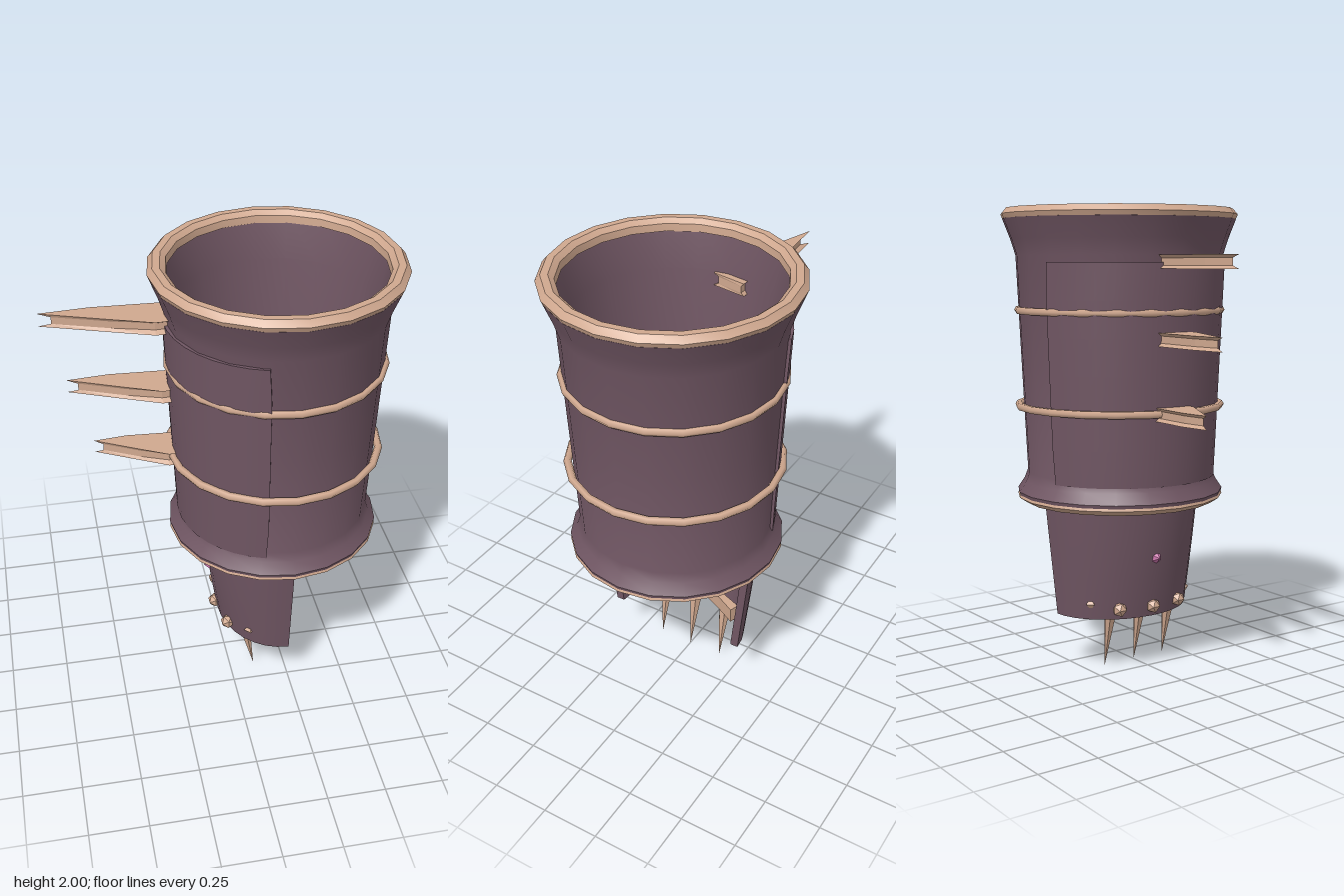
import * as THREE from 'three';
import { toCreasedNormals } from 'three/addons/utils/BufferGeometryUtils.js';

const CX = 0.215; // axis of the sleeve
const SIDES = 20;
const purple = new THREE.MeshStandardMaterial({ color: 0x705663, side: THREE.DoubleSide });
const tan = new THREE.MeshStandardMaterial({ color: 0xd0a88f, side: THREE.DoubleSide });
const tanFlat = new THREE.MeshStandardMaterial({ color: 0xd0a88f, flatShading: true });
const pink = new THREE.MeshStandardMaterial({ color: 0xd078b0, flatShading: true });

const lerp = THREE.MathUtils.lerp;
const wallRadius = (y) => lerp(0.41, 0.453, (y - 0.86) / 0.94);

function addMesh(parent, name, geometry, material) {
  const mesh = new THREE.Mesh(geometry, material);
  mesh.name = name;
  parent.add(mesh);
  return mesh;
}

// Move every vertex of a geometry by a rule
function warp(geometry, rule) {
  const pos = geometry.attributes.position;
  const v = new THREE.Vector3();
  for (let i = 0; i < pos.count; i++) {
    rule(v.fromBufferAttribute(pos, i));
    pos.setXYZ(i, v.x, v.y, v.z);
  }
  geometry.computeVertexNormals();
  return geometry;
}

function lathe(points, crease) {
  const profile = points.map(([r, y]) => new THREE.Vector2(r, y));
  return toCreasedNormals(new THREE.LatheGeometry(profile, SIDES), crease).translate(CX, 0, 0);
}

// Box bent around the -x side; place(angle, height 0..1, depth 0..1) returns [x, y, z]
function bentPlate(halfAngle, place) {
  const box = new THREE.BoxGeometry(2, 1, 1, 16, 6, 1);
  warp(box, (v) => v.set(...place(v.x * halfAngle, v.y + 0.5, v.z + 0.5)));
  return toCreasedNormals(box, 0.7);
}

// Plan outline in (x, z) extruded upward and centred on y = 0
function slab(outline, height, steps) {
  const shape = new THREE.Shape(outline.map(([x, z]) => new THREE.Vector2(x, z)));
  const geometry = new THREE.ExtrudeGeometry(shape, { depth: height, steps, bevelEnabled: false });
  return geometry.rotateX(Math.PI / 2).translate(0, height / 2, 0);
}

export function createModel() {
  const model = new THREE.Group();
  model.name = 'armGuard';

  // Flared sleeve, outside then inside
  addMesh(model, 'sleeve', lathe([
    [0.45, 0.755], [0.455, 0.775], [0.425, 0.82], [0.41, 0.86], [0.432, 1.33], [0.453, 1.8],
    [0.475, 1.87], [0.508, 1.955], [0.45, 1.97], [0.415, 1.8], [0.365, 0.86], [0.37, 0.74],
  ], 0.8), purple);

  // Rims
  addMesh(model, 'topRim', lathe([
    [0.47, 1.945], [0.506, 1.952], [0.516, 1.975], [0.495, 2], [0.465, 2], [0.443, 1.982], [0.44, 1.95],
  ], 0.4), tan);
  addMesh(model, 'bottomRim', lathe([
    [0.365, 0.75], [0.378, 0.73], [0.42, 0.727], [0.455, 0.75], [0.45, 0.765],
  ], 0.4), tan);

  // Two hoops
  for (const y of [1.15, 1.565]) {
    const hoop = new THREE.TorusGeometry(0.445, 0.017, 6, SIDES).rotateX(Math.PI / 2);
    addMesh(model, 'hoop', hoop.translate(CX, y, 0), tan);
  }

  // Shield plate over the outer side, with slightly clipped corners
  addMesh(model, 'shieldPlate', bentPlate(1.316, (a, h, d) => {
    const y = lerp(0.84, 1.77, h);
    const edge = Math.abs(h - 0.5) > 0.49 ? 0.985 : 1;
    const r = wallRadius(y) + lerp(-0.015, 0.01, d);
    return [CX - r * Math.cos(a * edge), y, r * Math.sin(a * edge)];
  }), purple);

  // Side blades with grooved flanks, shorter toward the bottom
  const bladeOutline = [
    [-0.73, -0.1], [-0.52, -0.115], [-0.28, -0.105], [-0.155, -0.1],
    [-0.18, 0.055], [-0.28, 0.06], [-0.45, 0],
  ];
  [[1.772, 1], [1.457, 0.83], [1.147, 0.66]].forEach(([y, length]) => {
    const blade = warp(slab(bladeOutline, 0.056, 3), (v) => {
      if (Math.abs(v.y) < 0.02) {
        v.y *= 1.6;
        v.z = lerp(-0.04, v.z, 0.78);
        if (v.x < -0.7) v.x += 0.055;
      }
      v.x = -0.17 + (v.x + 0.17) * length;
    });
    addMesh(model, 'sideBlade', blade, tanFlat).position.y = y;
  });

  // Tapering half-round hand guard
  addMesh(model, 'handGuard', bentPlate(Math.PI / 2, (a, h, d) => {
    const y = lerp(0.238, 0.78, h);
    const bulge = Math.sin(h * Math.PI) * 0.008;
    const inset = (1 - d) * 0.036;
    const rx = lerp(0.265, 0.33, h) + bulge - inset;
    const rz = lerp(0.32, 0.38, h) - inset;
    return [0.235 - rx * Math.cos(a), y, rz * Math.sin(a)];
  }), purple);

  // Chevron bar inside the hand guard, rising toward its ends
  const bar = slab([
    [0, 0], [0.11, 0.25], [0.15, 0.235], [0.1, 0.15], [0.02, 0],
    [0.1, -0.15], [0.15, -0.235], [0.11, -0.25],
  ], 0.07, 1);
  warp(bar, (v) => { v.y += 0.3 + Math.abs(v.z) * 0.07; });
  addMesh(model, 'clawBar', bar, tanFlat);

  // Three claws, each with a knob on the outside of the guard
  const base = new THREE.Vector3(0.055, 0.3, 0);
  const tip = new THREE.Vector3(0.11, 0.005, 0);
  const along = tip.clone().sub(base);
  for (const z of [-0.155, 0, 0.155]) {
    const claw = addMesh(model, 'claw', new THREE.ConeGeometry(0.033, along.length(), 6), tanFlat);
    claw.quaternion.setFromUnitVectors(new THREE.Vector3(0, 1, 0), along.clone().normalize());
    claw.position.copy(base).add(tip).multiplyScalar(0.5).setZ(z);
    const knob = addMesh(model, 'knob', new THREE.IcosahedronGeometry(0.033, 0), tanFlat);
    knob.position.set(z ? -0.012 : -0.042, 0.285, z);
  }

  // Small studs where the bar ends pass through the guard
  for (const z of [-0.25, 0.25]) {
    const stud = addMesh(model, 'barStud', new THREE.OctahedronGeometry(0.026), tanFlat);
    stud.position.set(0.07, 0.308, z);
  }

  // Gem set through the guard
  const gem = new THREE.SphereGeometry(0.045, 6, 2).rotateZ(Math.PI / 2);
  addMesh(model, 'gem', gem, pink).position.set(-0.047, 0.505, 0);

  return model;
}
